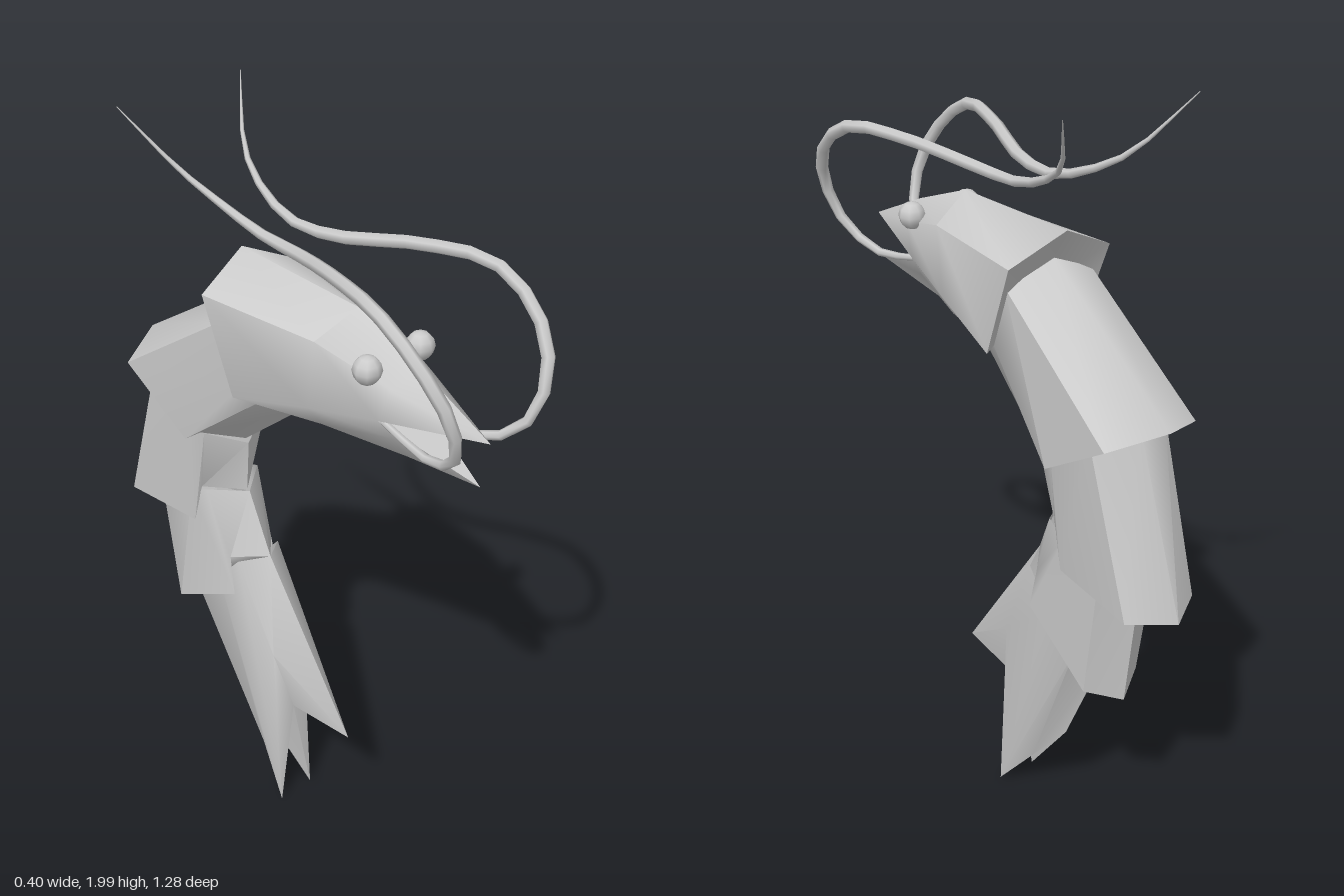
import * as THREE from 'three';
import { mergeGeometries, toCreasedNormals } from 'three/addons/utils/BufferGeometryUtils.js';

const material = new THREE.MeshStandardMaterial({ color: 0xcccccc, side: THREE.DoubleSide });

// Complete a half cross-section (from top to bottom, x >= 0) with its mirror image
const mirrorLoop = half => [
  ...half,
  ...half.filter(p => p[0] > 0).reverse().map(([x, y, z]) => [-x, y, z]),
];

// Skin half cross-sections ordered front to back; an optional hub closes the back
function loft(halves, hub) {
  const rings = halves.map(mirrorLoop), pos = [];
  const n = rings[0].length;
  const tri = (...corners) => corners.forEach(c => pos.push(...c));
  for (let i = 0; i < rings.length - 1; i++) {
    for (let j = 0; j < n; j++) {
      const k = (j + 1) % n, a = rings[i], b = rings[i + 1];
      tri(a[j], a[k], b[k]);
      tri(a[j], b[k], b[j]);
    }
  }
  if (hub) {
    const last = rings[rings.length - 1];
    last.forEach((p, j) => tri(hub, p, last[(j + 1) % n]));
  }
  return new THREE.BufferGeometry().setAttribute('position', new THREE.Float32BufferAttribute(pos, 3));
}

// Pointed piece: every line of the cross-section runs to one tip
function spike(tip, half) {
  const n = mirrorLoop(half).length, pos = [];
  const loop = mirrorLoop(half);
  for (let j = 0; j < n; j++) pos.push(...tip, ...loop[(j + 1) % n], ...loop[j]);
  const g = new THREE.BufferGeometry().setAttribute('position', new THREE.Float32BufferAttribute(pos, 3));
  // reversed corner order so that faces look outwards
  const p = g.attributes.position;
  for (let i = 0; i < p.count; i += 3) {
    const b = [p.getX(i + 1), p.getY(i + 1), p.getZ(i + 1)];
    p.setXYZ(i + 1, p.getX(i + 2), p.getY(i + 2), p.getZ(i + 2));
    p.setXYZ(i + 2, ...b);
  }
  g.index = null;
  // tip, next, current -> tip, current, next faces inwards on a front-facing tip, so flip back
  const flipped = [];
  for (let i = 0; i < p.count; i += 3)
    for (const k of [i, i + 2, i + 1]) flipped.push(p.getX(k), p.getY(k), p.getZ(k));
  return new THREE.BufferGeometry().setAttribute('position', new THREE.Float32BufferAttribute(flipped, 3));
}

function part(name, geometry) {
  const mesh = new THREE.Mesh(geometry, material);
  mesh.name = name;
  return mesh;
}

// Head shell with an open beak
function createHead() {
  const top = [0, 1.585, 0.4], cheek = [0.065, 1.545, 0.37];
  const corner = [0.07, 1.455, 0.34], chin = [0, 1.345, 0.37];
  const body = loft([
    [top, cheek, corner, [0.035, 1.4, 0.355], chin],
    [[0, 1.66, 0.2], [0.108, 1.6, 0.17], [0.108, 1.42, 0.15], [0.07, 1.365, 0.16], [0, 1.325, 0.18]],
    [[0, 1.67, -0.2], [0.147, 1.6, -0.175], [0.14, 1.36, -0.08], [0.12, 1.38, -0.03], [0, 1.305, 0]],
  ], [0, 1.5, -0.1]);
  const upperBeak = spike([0, 1.49, 0.61], [top, cheek, corner]);
  const lowerBeak = spike([0, 1.37, 0.59], [corner, [0.035, 1.4, 0.355], chin]);
  return part('head', toCreasedNormals(mergeGeometries([body, upperBeak, lowerBeak]), 1));
}

// Overlapping shell segments: front and back cross-sections as
// [ridge, shoulder, flap corner, flap notch, belly]
const segments = [
  {
    name: 'frontSegment', hub: [0, 1.21, -0.36],
    rings: [
      [[0, 1.6, -0.14], [0.125, 1.54, -0.13], [0.12, 1.4, -0.06], [0.1, 1.36, -0.02], [0, 1.3, 0]],
      [[0, 1.31, -0.575], [0.135, 1.275, -0.51], [0.128, 1.14, -0.29], [0.11, 1.17, -0.25], [0, 1.13, -0.2]],
    ],
  },
  {
    name: 'middleSegment', hub: [0, 0.9, -0.4],
    rings: [
      [[0, 1.3, -0.47], [0.113, 1.27, -0.43], [0.113, 1.19, -0.29], [0.105, 1.17, -0.24], [0, 1.12, -0.19]],
      [[0, 0.84, -0.635], [0.105, 0.845, -0.565], [0.092, 0.86, -0.31], [0.088, 0.98, -0.28], [0, 0.97, -0.2]],
    ],
  },
  {
    name: 'rearSegment', hub: [0, 0.66, -0.29],
    rings: [
      [[0, 0.9, -0.5], [0.09, 0.9, -0.45], [0.092, 0.95, -0.32], [0.088, 0.98, -0.26], [0, 0.97, -0.19]],
      [[0, 0.52, -0.455], [0.085, 0.55, -0.4], [0.078, 0.68, -0.17], [0.072, 0.79, -0.19], [0, 0.8, -0.11]],
    ],
  },
  {
    // Forked tail with a pointed fin below the belly
    name: 'tail', hub: [0, 0.33, -0.02],
    rings: [
      [[0, 0.6, -0.375], [0.07, 0.62, -0.34], [0.074, 0.7, -0.24], [0.07, 0.79, -0.16], [0, 0.8, -0.11]],
      [[0, 0.28, -0.23], [0.027, 0.145, -0.12], [0.055, 0.01, -0.01], [0.055, 0.53, -0.04], [0, 0.36, 0.2]],
    ],
  },
];

// Feeler sweeping from the mouth up and back over the head, thinning to a point
function createFeeler(side) {
  const path = [
    [0.06, 1.455, 0.34], [0.075, 1.43, 0.5], [0.11, 1.49, 0.605], [0.148, 1.6, 0.628], [0.178, 1.71, 0.57],
    [0.178, 1.793, 0.44], [0.125, 1.793, 0.25], [0.066, 1.765, 0.07], [0.05, 1.76, -0.07],
    [0.065, 1.8, -0.2], [0.1, 1.86, -0.3], [0.185, 2, -0.41],
  ].map(([x, y, z]) => new THREE.Vector3(side * x, y, z));
  const curve = new THREE.CatmullRomCurve3(path), steps = 22, sides = 6;
  const geometry = new THREE.TubeGeometry(curve, steps, 1, sides);
  const p = geometry.attributes.position, v = new THREE.Vector3();
  for (let i = 0; i < p.count; i++) {
    const t = Math.floor(i / (sides + 1)) / steps, centre = curve.getPointAt(t);
    const radius = Math.min(0.008 + 0.03 * t, 0.016, 0.001 + 0.045 * (1 - t));
    v.fromBufferAttribute(p, i).sub(centre).multiplyScalar(radius).add(centre);
    p.setXYZ(i, v.x, v.y, v.z);
  }
  return part(side > 0 ? 'leftFeeler' : 'rightFeeler', geometry);
}

export function createModel() {
  const model = new THREE.Group();
  model.name = 'crustacean';
  model.add(createHead());
  for (const { name, rings, hub } of segments)
    model.add(part(name, toCreasedNormals(loft(rings, hub), 1)));
  for (const side of [1, -1]) {
    const eye = part(side > 0 ? 'leftEye' : 'rightEye', new THREE.SphereGeometry(0.035, 8, 6));
    eye.position.set(side * 0.083, 1.58, 0.315);
    model.add(eye, createFeeler(side));
  }
  return model;
}
